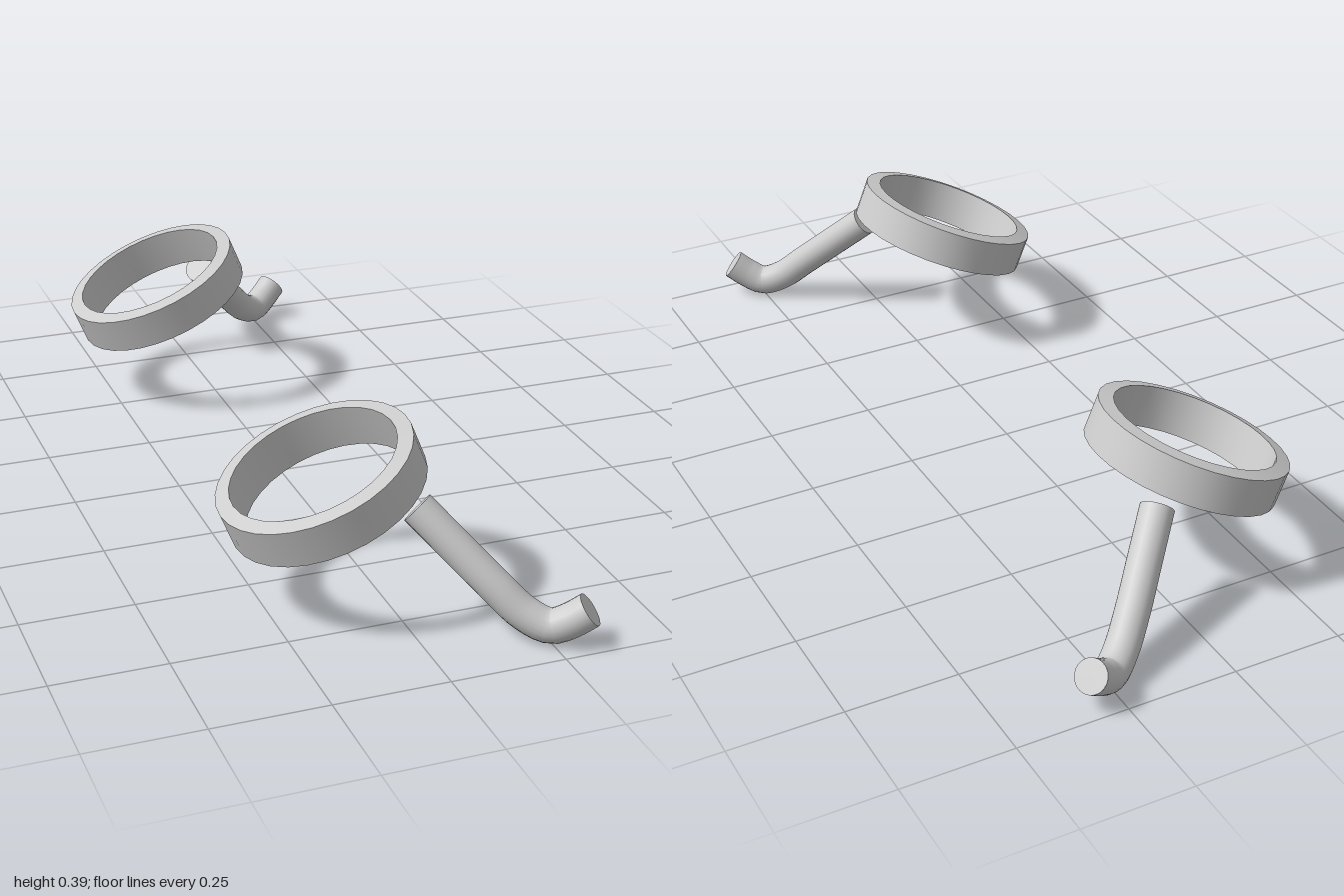
import * as THREE from 'three';
import { toCreasedNormals } from 'three/addons/utils/BufferGeometryUtils.js';

const RADIUS = 0.037; // arm tube radius

export function createModel() {
  const model = new THREE.Group();
  const grey = new THREE.MeshStandardMaterial({ color: 0xcccccc });
  grey.name = 'plain grey';

  const add = (parent, geometry, name) => {
    const mesh = new THREE.Mesh(geometry, grey);
    mesh.name = name;
    parent.add(mesh);
    return mesh;
  };

  // Ring wall: straight outside and inside, rims rising slightly inwards
  const profile = [
    [0.218, -0.043], [0.218, 0.043], [0.185, 0.049], [0.185, -0.049], [0.218, -0.043],
  ].map(([r, y]) => new THREE.Vector2(r, y));
  const ringGeometry = toCreasedNormals(new THREE.LatheGeometry(profile, 32), Math.PI / 6);

  // One tilted ring with its bent arm on each side
  for (const side of [1, -1]) {
    const holder = new THREE.Group();
    holder.name = side > 0 ? 'frontHolder' : 'backHolder';
    model.add(holder);

    const ring = add(holder, ringGeometry, 'ring');
    ring.position.set(-0.1225, 0.27, side * 0.592);
    ring.rotation.z = Math.PI / 8;

    // Arm: a long straight run, then an upturned hook
    const path = new THREE.CatmullRomCurve3([
      [0.034, 0.25, 0.732], [0.097, 0.1785, 0.7925], [0.16, 0.107, 0.853],
      [0.207, 0.058, 0.893], [0.25, 0.038, 0.925], [0.283, 0.055, 0.946], [0.317, 0.083, 0.964],
    ].map(([x, y, z]) => new THREE.Vector3(x, y, side * z)));
    add(holder, new THREE.TubeGeometry(path, 28, RADIUS, 20), 'arm');

    // Flat discs closing both ends of the arm
    for (const t of [0, 1]) {
      const cap = add(holder, new THREE.CircleGeometry(RADIUS, 20), t ? 'armTipCap' : 'armRootCap');
      const outward = path.getTangentAt(t).multiplyScalar(t ? 1 : -1);
      cap.position.copy(path.getPointAt(t));
      cap.quaternion.setFromUnitVectors(new THREE.Vector3(0, 0, 1), outward);
    }
  }
  return model;
}
